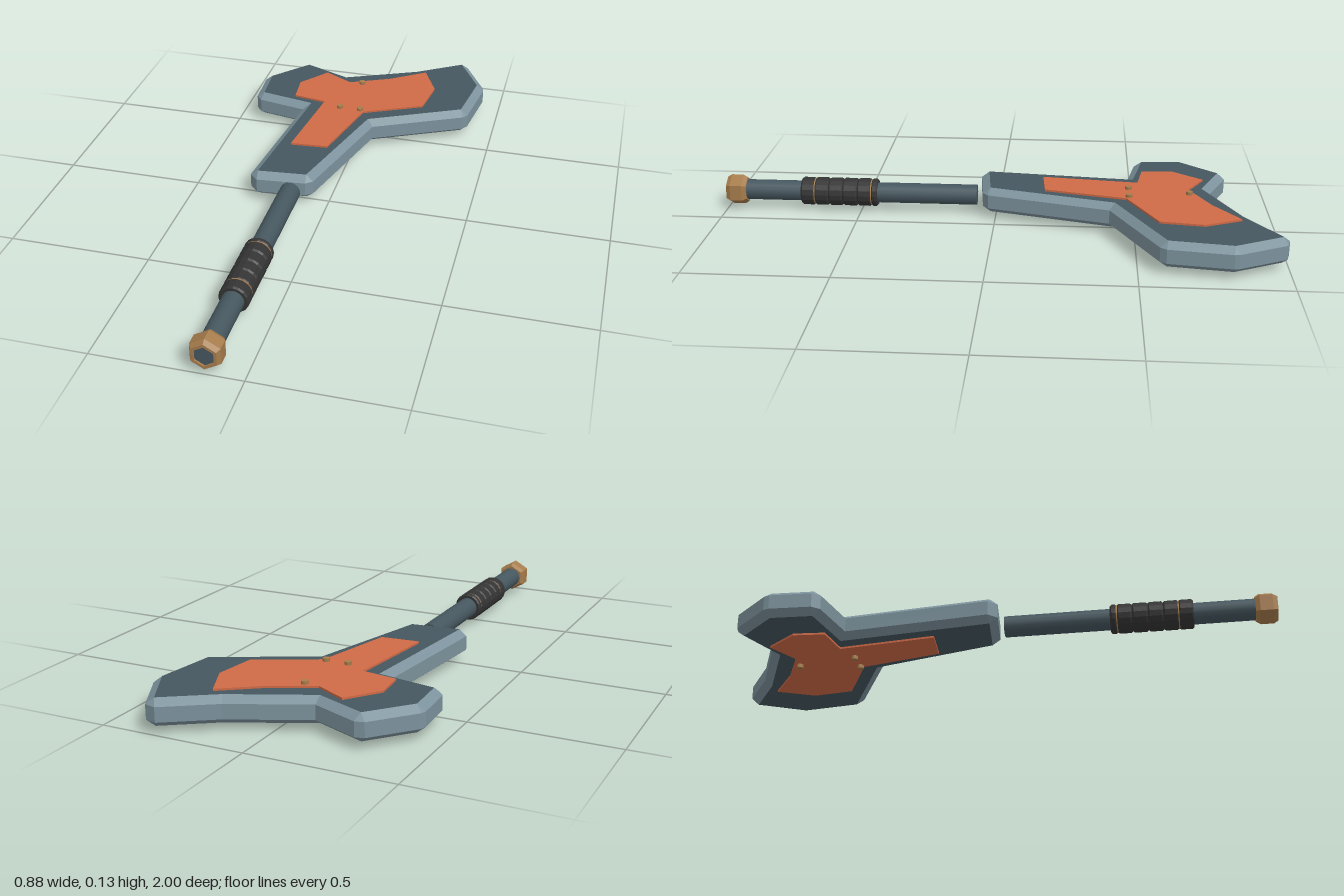
import * as THREE from 'three';

const mat = (name, color) => {
  const m = new THREE.MeshStandardMaterial({ color });
  m.name = name;
  return m;
};

// Hard-edged copy of a geometry
const faceted = (g) => {
  const f = g.toNonIndexed();
  f.computeVertexNormals();
  return f;
};

// Flat plate cut to an (x, z) outline, between two heights
function plate(outline, y0, y1) {
  const shape = new THREE.Shape(outline.map(([x, z]) => new THREE.Vector2(x, z)));
  const g = new THREE.ExtrudeGeometry(shape, { depth: y1 - y0, bevelEnabled: false });
  return g.rotateX(Math.PI / 2).translate(0, y1, 0);
}

// Bevelled rim around an (x, z) outline: chamfered convex corners, mitred concave ones
function rimGeometry(outline, size, heights) {
  const n = outline.length;
  const normal = (i) => {
    const [ax, az] = outline[i % n], [bx, bz] = outline[(i + 1) % n];
    const l = Math.hypot(bx - ax, bz - az);
    return [-(bz - az) / l, (bx - ax) / l];
  };
  const ring = [];
  outline.forEach(([x, z], i) => {
    const p = normal(i + n - 1), q = normal(i);
    const convex = p[0] * q[1] - p[1] * q[0] < 0;
    const k = 1 / (1 + p[0] * q[0] + p[1] * q[1]);
    const dirs = convex ? [p, q] : [[(p[0] + q[0]) * k, (p[1] + q[1]) * k]];
    for (const d of dirs) {
      ring.push({ inner: [x, z], outer: [x + d[0] * size, z + d[1] * size] });
    }
  });
  const rows = heights.map((y, r) => ring.map((s) => {
    const [x, z] = r === 0 || r === 3 ? s.inner : s.outer;
    return [x, y, z];
  }));
  const pos = [];
  for (let r = 0; r < 3; r++) {
    for (let i = 0; i < ring.length; i++) {
      const j = (i + 1) % ring.length;
      const a = rows[r][i], b = rows[r][j], c = rows[r + 1][j], d = rows[r + 1][i];
      // Corner wedges collapse to one triangle at the inner outline
      if (r !== 0 || ring[i].inner !== ring[j].inner) pos.push(...a, ...b, ...c, ...a, ...c, ...d);
      else pos.push(...a, ...c, ...d);
    }
  }
  const g = new THREE.BufferGeometry();
  g.setAttribute('position', new THREE.Float32BufferAttribute(pos, 3));
  g.computeVertexNormals();
  return g;
}

export function createModel() {
  const steel = mat('dark steel', 0x46575f);
  const edge = mat('pale steel edge', 0x7c929c);
  const orange = mat('orange plate', 0xcf6a46);
  const brass = mat('brass', 0xa67c4c);
  const leather = mat('black grip', 0x343434);

  const model = new THREE.Group();
  const add = (name, geometry, material, parent = model) => {
    const m = new THREE.Mesh(geometry, material);
    m.name = name;
    parent.add(m);
    return m;
  };

  // Three-armed blade: dark faces and a pale bevelled rim
  const blade = [
    [-0.255, 0.035], [-0.08, 0.018], [0.043, -0.43], [0.378, -0.595], [0.408, -0.81],
    [0.32, -0.976], [0.15, -0.865], [-0.12, -0.745], [-0.295, -0.818],
    [-0.414, -0.685], [-0.406, -0.54], [-0.2, -0.5],
  ];
  add('bladeFaces', plate(blade, 0.023, 0.115), steel);
  add('bladeRim', rimGeometry(blade, 0.028, [0.023, 0.044, 0.094, 0.115]), edge);

  // Inlay plates on both faces
  const inlay = [
    [-0.19, -0.17], [-0.055, -0.18], [0.015, -0.47], [0.23, -0.575], [0.25, -0.725],
    [0.19, -0.855], [0.06, -0.765], [-0.09, -0.695], [-0.2, -0.755],
    [-0.285, -0.645], [-0.275, -0.535], [-0.15, -0.515],
  ];
  add('topInlay', plate(inlay, 0.114, 0.122), orange);
  add('bottomInlay', plate(inlay, 0.016, 0.024), orange);

  // Rivets running through the blade
  for (const [x, z] of [[-0.04, -0.695], [-0.08, -0.48], [0, -0.48]]) {
    add('rivet', new THREE.CylinderGeometry(0.012, 0.012, 0.13, 10).translate(x, 0.068, z), brass);
  }

  // Handle parts share one axis along z
  const handle = new THREE.Group();
  handle.name = 'handle';
  handle.position.set(-0.125, 0.069, 0);
  model.add(handle);
  const rod = (name, r, z0, z1, material, sides = 16) => add(name,
    new THREE.CylinderGeometry(r, r, z1 - z0, sides).rotateX(Math.PI / 2).translate(0, 0, (z0 + z1) / 2),
    material, handle);
  const turned = (name, profile, sides, material) => add(name,
    faceted(new THREE.LatheGeometry(profile.map(([r, z]) => new THREE.Vector2(r, z)), sides).rotateX(Math.PI / 2)),
    material, handle);

  rod('shaft', 0.037, 0.07, 0.994, steel);

  // Ribbed grip with thin brass bands
  const cuts = [0.437, 0.46, 0.512, 0.566, 0.618, 0.67, 0.72];
  for (let i = 0; i < cuts.length - 1; i++) {
    const a = cuts[i], b = cuts[i + 1];
    turned('gripRib', [[0.036, a], [0.046, a], [0.051, a + 0.006], [0.051, b - 0.006], [0.046, b], [0.036, b]],
      16, leather);
  }
  for (const z of [0.46, 0.67]) rod('gripBand', 0.0485, z - 0.002, z + 0.002, brass);

  // Hexagonal end nut
  turned('endNut', [[0.036, 0.926], [0.047, 0.926], [0.057, 0.941], [0.057, 0.984], [0.047, 1], [0.036, 1], [0.036, 0.98]],
    6, brass);

  return model;
}
